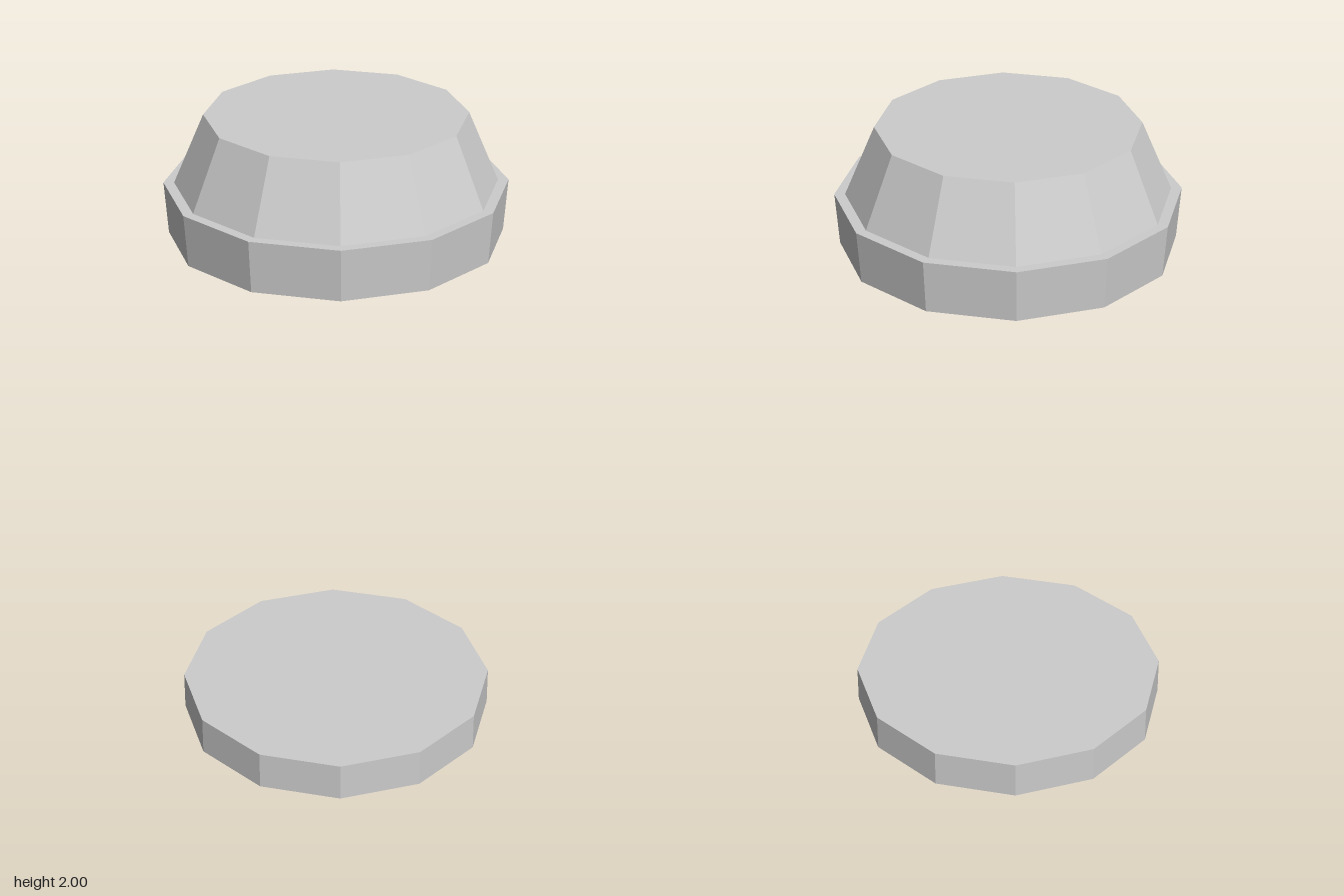
import * as THREE from 'three';

const SIDES = 12;

export function createModel() {
  const group = new THREE.Group();
  const grey = new THREE.MeshStandardMaterial({ color: 0xcccccc, flatShading: true });
  grey.name = 'light grey';

  // Turned part from [radius, height] pairs, running up the outside
  const turned = (name, profile) => {
    const points = profile.map(([r, y]) => new THREE.Vector2(r, y));
    const mesh = new THREE.Mesh(new THREE.LatheGeometry(points, SIDES), grey);
    mesh.name = name;
    group.add(mesh);
  };

  // Flat base disc
  turned('base', [[0, 0], [0.485, 0], [0.485, 0.12], [0, 0.12]]);

  // Lid rim, with the shallow recess underneath and the ledge on top
  turned('lidRim', [[0, 1.76], [0.425, 1.76], [0.425, 1.65], [0.475, 1.65], [0.485, 1.8], [0.455, 1.8]]);

  // Tapered crown of the lid
  turned('lidCrown', [[0.455, 1.8], [0.368, 2], [0, 2]]);

  return group;
}
